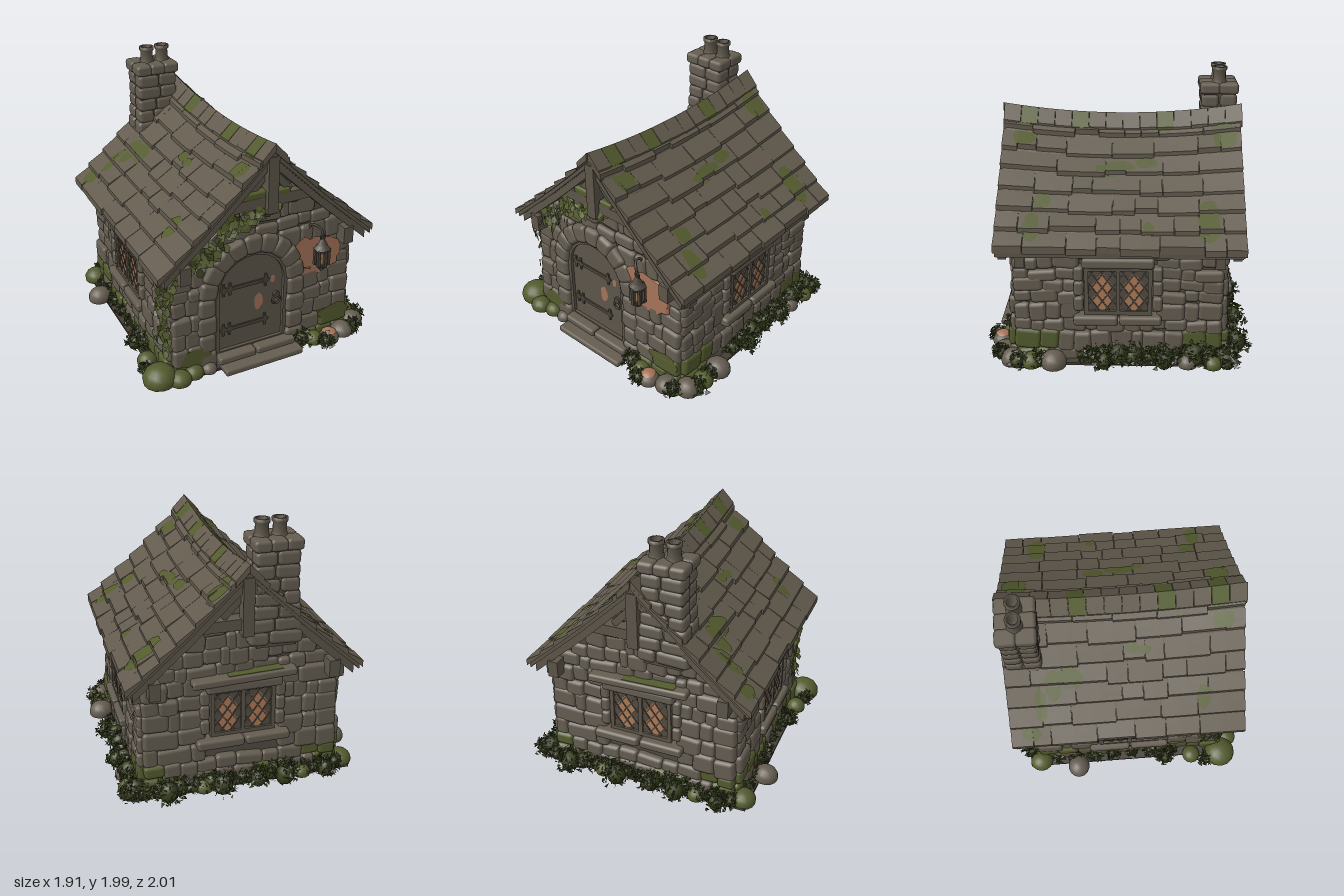
import * as THREE from 'three';
import { mergeGeometries } from 'three/addons/utils/BufferGeometryUtils.js';
import { RoundedBoxGeometry } from 'three/addons/geometries/RoundedBoxGeometry.js';

export function createModel() {
  const model = new THREE.Group();
  model.name = 'stoneCottage';
  const mat = (name, color, side = THREE.FrontSide) => {
    const m = new THREE.MeshStandardMaterial({ color, side });
    m.name = name;
    return m;
  };
  const M = {
    stone: mat('stone', 0x655d51), mortar: mat('mortar', 0x524b41), shingle: mat('shingle', 0x625a4d),
    wood: mat('wood', 0x5c5549), iron: mat('iron', 0x4a443b), soil: mat('soil', 0x453d35),
    moss: mat('moss', 0x535b2e, THREE.DoubleSide), foliage: mat('foliage', 0x373e1e, THREE.DoubleSide),
    plaster: mat('plaster', 0xa57359, THREE.DoubleSide), glow: mat('glowing glass', 0xb07a56, THREE.DoubleSide),
  };
  let seed = 7;
  const rnd = (a = 0, b = 1) => {
    seed = (seed * 16807) % 2147483647;
    return a + (b - a) * seed / 2147483647;
  };
  const { lerp, clamp } = THREE.MathUtils;
  const add = (parent, name, material, list) => {
    if (!list.length) return;
    const mesh = new THREE.Mesh(mergeGeometries(list.map(g => g.index ? g.toNonIndexed() : g)), material);
    mesh.name = name;
    parent.add(mesh);
  };
  const group = (name, ry = 0, parent = model) => {
    const g = new THREE.Group();
    g.name = name;
    g.rotation.y = ry;
    parent.add(g);
    return g;
  };
  const vecs = (V, list) => list.map(p => new V(...p));
  const at = (g, x, y, z, rx = 0, ry = 0, rz = 0) => g.rotateX(rx).rotateY(ry).rotateZ(rz).translate(x, y, z);
  const box = (w, h, d, x, y, z, rz = 0) => at(new THREE.BoxGeometry(w, h, d), x, y, z, 0, 0, rz);
  const rock = (w, h, d, x, y, z, rz = 0) => at(new RoundedBoxGeometry(w, h, d, 1, Math.min(w, h, d) * 0.3), x, y, z, 0, 0, rz);
  const grounded = g => { // flatten whatever sinks below the floor
    const p = g.attributes.position;
    for (let i = 0; i < p.count; i++) p.setY(i, Math.max(0, p.getY(i)));
    return g;
  };
  const blob = (x, y, rx, ry, z) => { // irregular flat patch
    const g = new THREE.CircleGeometry(1, 14), p = g.attributes.position;
    for (let i = 1; i < p.count - 1; i++) { const k = rnd(0.85, 1.12); p.setXY(i, p.getX(i) * k, p.getY(i) * k); }
    p.setXY(p.count - 1, p.getX(1), p.getY(1));
    return g.scale(rx, ry, 1).translate(x, y, z);
  };

  // Ground and wall core
  add(model, 'groundSlab', M.soil, [box(1.66, 0.02, 1.66, 0, 0.01, 0)]);
  const gable = new THREE.Shape(vecs(THREE.Vector2, [[-0.71, 0], [0.71, 0], [0.71, 0.9], [0, 1.57], [-0.71, 0.9]]));
  add(model, 'wallCore', M.mortar, [new THREE.ExtrudeGeometry(gable, { depth: 1.47, bevelEnabled: false }).translate(0, 0, -0.74)]);

  // Rows of rounded stones; cut gives the centre and half width of an opening
  const DX = -0.1, SPRING = 0.6;
  function stoneWall(name, ry, dist, top, half, cut, isPlaster) {
    const g = group(name, ry), lists = { stone: [], moss: [], plaster: [] };
    for (let y = 0; y < top - 0.05;) {
      const h = Math.min(rnd(0.085, 0.145), top - y), hw = half(y + h * 0.7);
      if (hw < 0.07) break;
      const [c, w] = cut(y, y + h);
      const spans = w > 0 ? [[-hw, c - w], [c + w, hw]] : [[-hw, hw]];
      for (const [a, b] of spans) {
        if (b - a < 0.04) continue;
        const n = Math.max(1, Math.round((b - a) / rnd(0.12, 0.18))), step = (b - a) / n;
        const edges = Array.from({ length: n + 1 }, (_, i) => a + i * step + (i && i < n ? rnd(-0.36, 0.36) * step : 0));
        for (let i = 0; i < n; i++) {
          const sw = edges[i + 1] - edges[i], x = (edges[i] + edges[i + 1]) / 2, yc = y + h / 2;
          const mossy = yc < (Math.abs(x) > 0.42 ? 0.22 : 0.13) && rnd() < 0.8;
          const kind = isPlaster && isPlaster(x, yc) ? 'plaster' : mossy ? 'moss' : 'stone';
          const out = 0.03 * Math.max(0, 1 - y / 0.9) + rnd(-0.012, 0.012), wave = y > 0.05 ? 0.014 * Math.sin(x * 11 + y * 17) : 0;
          lists[kind].push(grounded(rock(sw + 0.012, h + rnd(0, 0.03), 0.1, x, yc + wave, dist - 0.01 + out, rnd(-0.1, 0.1))));
        }
      }
      y += h;
    }
    for (const k in lists) add(g, name + ' ' + k, M[k], lists[k]);
    return g;
  }
  const gableHalf = y => Math.min(0.72, (1.57 - y) / 0.95);
  const doorCut = (y0, y1) => {
    const y = (y0 + y1) / 2;
    return [DX, y < SPRING ? 0.4 : Math.sqrt(Math.max(0, 0.39 ** 2 - (y - SPRING) ** 2))];
  };
  const windowCut = (y0, y1) => [0, y1 > 0.36 && y0 < 0.78 ? 0.28 : 0];
  const front = stoneWall('frontWall', 0, 0.72, 1.55, gableHalf, doorCut,
    (x, y) => ((x - 0.42) / 0.15) ** 2 + ((y - 0.74) / 0.15) ** 2 < 1);
  add(front, 'plasterPatch', M.plaster, [blob(0.44, 0.765, 0.2, 0.135, 0.778), blob(0.3, 0.61, 0.08, 0.045, 0.78), blob(0.3, 0.8, 0.08, 0.1, 0.779), blob(0.47, 0.63, 0.1, 0.05, 0.781)]);
  add(front, 'wallMoss', M.moss, [blob(-0.55, 0.14, 0.12, 0.08, 0.797), blob(0.6, 0.2, 0.14, 0.07, 0.795)]);

  // Leaded casement window with stone lintel and sill, facing +z
  function latticeWindow(parent, z, cy, name, width, depth) {
    const g = group(name, 0, parent), frame = [], bars = [], panes = [], dark = [];
    g.position.set(0, cy, z);
    for (const y of [-0.17, 0.17]) frame.push(box(0.48, 0.03, 0.06, 0, y, 0.018));
    for (const x of [-0.225, 0, 0.225]) frame.push(box(0.03, 0.34, 0.06, x, 0, 0.018));
    const W = 0.1, H = 0.155, K = 1.4, P = 0.105;
    for (const cx of [-0.112, 0.112]) {
      dark.push(box(0.21, 0.32, 0.008, cx, 0, 0.026));
      for (const s of [1, -1]) for (let o = -0.4; o < 0.41; o += P) { // clipped diagonal bars
        const a = Math.max(-W, (-H - o) / K), b = Math.min(W, (H - o) / K);
        if (b - a > 0.01) bars.push(box((b - a) * Math.hypot(1, K), 0.01, 0.008, cx + s * (a + b) / 2, o + K * (a + b) / 2, 0.033, s * Math.atan(K)));
      }
      for (let i = -1; i <= 1; i++) for (let j = -2; j <= 2; j++) { // lit diamonds
        if ((i + j) % 2 || Math.abs(i) + Math.abs(j) > 2) continue;
        panes.push(new THREE.CircleGeometry(1, 4).scale(P / 2 / K, P / 2, 1).translate(cx + i * P / 2 / K, j * P / 2 - 0.015, 0.032));
      }
    }
    add(g, 'windowFrame', M.wood, frame);
    add(g, 'leadBars', M.iron, bars);
    add(g, 'darkGlass', M.mortar, dark);
    add(g, 'litGlass', M.glow, panes);
    add(g, 'lintelAndSill', M.stone, [rock(width * 0.8, 0.08, depth, 0, 0.22, 0.01), rock(width / 2, 0.075, depth, -width / 4, -0.22, 0.02),
      rock(width / 2 - 0.02, 0.07, depth, width / 4, -0.22, 0.02),
      ...[-1, 1].flatMap(s => [-0.1, 0.02, 0.13].map(y => rock(0.07, 0.11, 0.1, s * 0.28, y, 0.01)))]);
    return g;
  }
  const back = stoneWall('backWall', Math.PI, 0.73, 1.55, gableHalf, windowCut);
  const backWindow = latticeWindow(back, 0.745, 0.6, 'backWindow', 0.7, 0.18);
  add(backWindow, 'lintelSlab', M.stone, [rock(0.76, 0.06, 0.2, 0, 0.275, 0.01, 0.03)]);
  add(backWindow, 'lintelMoss', M.moss, [box(0.4, 0.006, 0.12, 0.08, 0.308, 0.03, 0.03)]);
  for (const s of [1, -1]) {
    const side = s > 0 ? 'left' : 'right';
    latticeWindow(stoneWall(side + 'Wall', s * Math.PI / 2, 0.7, 0.9, () => 0.74, windowCut), 0.72, 0.56, side + 'Window', 0.64, 0.14);
  }

  // Roof: u runs from ridge to eave, h is height above the sagging deck
  const roofPoint = (u, h, z) => [0.85 * u, lerp(1.605 + 0.07 * (z / 0.87) ** 2, 0.885, u) - 0.015 * Math.sin(Math.PI * u) + h, z];
  function roofSlab(u0, u1, z0, z1, low, h0, h1) {
    const g = new THREE.BoxGeometry(1, 1, 1, 2, 1, z1 - z0 > 0.5 ? 12 : 2), p = g.attributes.position;
    for (let i = 0; i < p.count; i++) {
      const a = p.getX(i) + 0.5, z = lerp(z0, z1, p.getZ(i) + 0.5);
      p.setXYZ(i, ...roofPoint(lerp(u0, u1, a), lerp(low, lerp(h0, h1, a), p.getY(i) + 0.5), z));
    }
    g.computeVertexNormals();
    return g;
  }
  const COURSES = 7;
  // Moss patches per slope: u, z, size in u, size in z
  const mossSpots = [
    [[0.21, -0.76, 0.11, 0.09], [0.21, 0.72, 0.1, 0.085], [0.8, -0.62, 0.15, 0.08], [0.39, 0, 0.045, 0.11], [0.42, 0.1, 0.04, 0.1],
      [0.66, 0.55, 0.07, 0.06], [0.85, 0.62, 0.12, 0.06], [0.36, -0.18, 0.05, 0.08], [0.85, -0.2, 0.05, 0.04]],
    [[0.21, 0.72, 0.1, 0.08], [0.73, 0.57, 0.09, 0.06], [0.53, -0.4, 0.08, 0.1], [0.58, -0.53, 0.12, 0.06], [0.35, 0.06, 0.05, 0.06],
      [0.92, -0.72, 0.06, 0.07], [0.72, -0.63, 0.13, 0.045], [0.37, 0.15, 0.04, 0.05]],
  ];
  for (const s of [0, 1]) {
    const g = group(s ? 'rightRoof' : 'leftRoof', s * Math.PI), shingles = [], moss = [], flip = s ? -1 : 1;
    g.position.z = -0.012;
    add(g, 'roofDeck', M.wood, [roofSlab(0, 0.985, -0.85, 0.85, -0.05, 0.005, 0.005)]);
    for (let c = 0; c < COURSES; c++) {
      for (let z = -0.875; z < 0.86;) {
        const end = z + rnd(0.12, 0.36), z1 = end > 0.76 ? 0.875 : end, drop = rnd(-0.012, 0.025);
        const u0 = c / COURSES, u1 = Math.min(1.01, (c + 1) / COURSES + drop), h1 = rnd(0.032, 0.048);
        shingles.push(roofSlab(u0, u1, z + 0.002, z1 - 0.002, -0.01, 0.008, h1));
        for (const [pu, wz, ru, rz] of mossSpots[s]) {
          const pz = wz * flip;
          if (pu + ru < u0 || pu - ru > u1 || pz + rz < z || pz - rz > z1) continue;
          const patch = blob(pu, pz, ru, rz, 0), p = patch.attributes.position;
          for (let i = 0; i < p.count; i++) {
            const u = clamp(p.getX(i), u0 + 0.012, u1);
            p.setXYZ(i, ...roofPoint(u, lerp(0.008, h1, (u - u0) / (u1 - u0)) + 0.007, clamp(p.getY(i), z, z1)));
          }
          patch.setIndex([...patch.index.array].reverse()); // face upwards
          patch.computeVertexNormals();
          moss.push(patch);
        }
        z = z1;
      }
    }
    add(g, 'shingles', M.shingle, shingles);
    add(g, 'roofMoss', M.moss, moss);
    const caps = [[], []];
    for (let i = 0; i < 14; i++) {
      const z = -0.885 + i * 0.1257, mossy = [4, 9, 12].includes(s ? 13 - i : i) ? 1 : 0;
      caps[mossy].push(roofSlab(0, 0.115, z, z + 0.123, 0, 0.055, 0.045 + (i % 3) * 0.004));
    }
    add(g, 'ridgeCaps', M.shingle, caps[0]);
    add(g, 'mossyRidgeCaps', M.moss, caps[1]);
    // Bargeboards at both gable ends, wall plate, eave brackets and rafter tails
    add(g, 'bargeboards', M.wood, [-0.815, 0.815].flatMap(z => [roofSlab(0, 0.94, z - 0.03, z + 0.03, -0.115, -0.02, -0.02),
      roofSlab(0, 0.985, z - 0.045, z + 0.045, -0.045, 0, 0)]));
    const timbers = [box(0.08, 0.13, 1.72, 0.65, 0.875, 0)];
    for (const z of [-0.7, 0.7]) timbers.push(box(0.1, 0.14, 0.07, 0.73, 0.81, z));
    for (let z = -0.56; z < 0.6; z += 0.16) timbers.push(box(0.12, 0.05, 0.05, 0.75, 0.87, z));
    add(g, 'eaveTimbers', M.wood, timbers);
    // Gable truss
    add(g, 'gableTruss', M.wood, [box(0.66, 0.08, 0.09, 0, 1.29, 0.79), box(0.08, 0.42, 0.09, 0, 1.42, 0.825),
      ...[-1, 1].map(k => box(0.05, 0.22, 0.05, k * 0.09, 1.42, 0.79, k * 0.75))]);
  }
  add(front, 'gableMoss', M.moss, [rock(0.19, 0.06, 0.07, -0.11, 1.35, 0.79), rock(0.11, 0.045, 0.07, 0.1, 1.34, 0.79)]);

  // Chimney
  const chimney = group('chimney'), CX = -0.21, CZ = -0.735, blocks = [];
  add(chimney, 'chimneyCore', M.mortar, [box(0.29, 0.7, 0.23, CX, 1.45, CZ)]);
  for (let y = 1.12; y < 1.78; y += 0.095) {
    const split = rnd(-0.06, 0.06), w = 0.31 + Math.max(0, 1.48 - y) * 0.2;
    for (const k of [-1, 1]) for (const q of [-1, 1]) {
      const bw = w / 2 - k * split;
      blocks.push(rock(bw + 0.008, 0.108, 0.135, CX + k * (w / 2 - bw / 2), y + 0.047, CZ + q * (0.061 + rnd(0, 0.006)), rnd(-0.05, 0.05)));
    }
  }
  for (const k of [-1, 0, 1]) for (const q of [-1, 1]) blocks.push(rock(0.122, 0.085, 0.15, CX + k * 0.112, 1.828, CZ + q * 0.069));
  add(chimney, 'chimneyStones', M.stone, blocks);
  const potProfile = [[0.06, 0], [0.048, 0.03], [0.046, 0.09], [0.056, 0.1], [0.056, 0.125], [0.036, 0.125], [0.034, 0.02], [0, 0.02]];
  add(chimney, 'chimneyPots', M.wood, [-0.25, -0.125].map(x => new THREE.LatheGeometry(vecs(THREE.Vector2, potProfile), 16).translate(x, 1.86, CZ)));

  // Arched door, frame and stone surround
  const door = group('door');
  const archShape = (r, y0) => new THREE.Shape().moveTo(-r, y0).lineTo(r, y0).lineTo(r, SPRING).absarc(0, SPRING, r, 0, Math.PI, false).lineTo(-r, y0);
  const arch = (r, y0, depth, z, hole) => {
    const s = archShape(r, y0);
    if (hole) s.holes.push(archShape(hole, y0 + 0.015));
    return new THREE.ExtrudeGeometry(s, { depth, bevelEnabled: false, curveSegments: 20 }).translate(DX, 0, z);
  };
  add(door, 'doorPanel', M.wood, [arch(0.27, 0.1, 0.03, 0.715)]);
  add(door, 'doorFrame', M.wood, [arch(0.29, 0.1, 0.055, 0.715, 0.262)]);
  const hinges = [];
  for (const y of [0.28, 0.62]) {
    hinges.push(box(0.38, 0.028, 0.012, -0.15, y, 0.75));
    for (const x of [-0.32, -0.27, 0.02]) hinges.push(box(0.018, 0.1, 0.012, x, y, 0.75), box(0.045, 0.045, 0.013, x, y, 0.75, Math.PI / 4));
  }
  hinges.push(at(new THREE.TorusGeometry(0.032, 0.008, 6, 18), 0.11, 0.425, 0.757),
    at(new THREE.CylinderGeometry(0.026, 0.026, 0.02, 12), 0.11, 0.47, 0.755, Math.PI / 2));
  add(door, 'doorIronwork', M.iron, hinges);
  add(door, 'doorPatches', M.plaster, [blob(-0.035, 0.45, 0.035, 0.07, 0.748), blob(0.08, 0.61, 0.018, 0.035, 0.748)]);
  const surround = [];
  for (let i = 0; i < 9; i++) {
    const a = (i + 0.5) / 9 * Math.PI;
    surround.push(rock(0.145, 0.15, 0.12, DX + Math.cos(a) * 0.352, SPRING + Math.sin(a) * 0.352, 0.74, a - Math.PI / 2));
  }
  for (const k of [-1, 1]) for (let i = 0; i < 4; i++)
    surround.push(rock(i % 2 ? 0.14 : 0.16, 0.156, 0.12, DX + k * 0.36, 0.078 + i * 0.148, 0.74));
  add(door, 'doorSurround', M.stone, surround);
  add(door, 'doorstep', M.stone, [rock(0.64, 0.05, 0.26, -0.06, 0.028, 0.8), rock(0.3, 0.06, 0.15, -0.24, 0.075, 0.77), rock(0.32, 0.06, 0.15, 0.08, 0.075, 0.77)]);

  // Hanging lantern on a wall hook
  const lantern = group('lantern');
  lantern.position.set(0.42, 0, 0.855);
  const hook = new THREE.CatmullRomCurve3(vecs(THREE.Vector3, [[-0.05, 0.9, -0.1], [-0.05, 0.99, -0.09], [-0.04, 1.01, -0.03], [-0.01, 0.98, 0], [0, 0.92, 0]]));
  const ring6 = (r0, r1, h, y) => at(new THREE.CylinderGeometry(r0, r1, h, 6), 0, y, 0);
  const metal = [new THREE.TubeGeometry(hook, 16, 0.01, 6), at(new THREE.TorusGeometry(0.02, 0.006, 6, 12), 0, 0.925, 0),
    ring6(0.012, 0.04, 0.05, 0.885), ring6(0.035, 0.066, 0.035, 0.845), ring6(0.054, 0.054, 0.025, 0.82), ring6(0.054, 0.042, 0.03, 0.7), ring6(0.035, 0.012, 0.035, 0.667)];
  for (let i = 0; i < 6; i++) {
    const a = i * Math.PI / 3;
    metal.push(box(0.022, 0.14, 0.022, Math.sin(a) * 0.047, 0.765, Math.cos(a) * 0.047));
  }
  add(lantern, 'lanternMetal', M.iron, metal);
  add(lantern, 'lanternGlass', M.glow, [ring6(0.04, 0.034, 0.12, 0.765)]);

  // Boulders around the base: x, z, radius, mossy
  const boulders = { stone: [], moss: [] };
  for (const [x, z, r, m] of [[-0.83, 0.76, 0.125, 1], [-0.7, 0.83, 0.085, 1], [-0.58, 0.8, 0.075, 1], [-0.46, 0.8, 0.06, 0], [-0.83, 0.52, 0.075, 1], [-0.86, -0.43, 0.095, 0],
    [0.84, 0.46, 0.1, 0], [0.83, 0.62, 0.08, 1], [0.8, 0.76, 0.09, 0], [0.66, 0.83, 0.085, 0], [0.52, 0.87, 0.08, 0], [0.41, 0.83, 0.07, 1],
    [0.82, -0.5, 0.075, 0], [0.83, -0.68, 0.075, 1], [-0.79, -0.74, 0.09, 1], [0.3, -0.82, 0.07, 1], [-0.45, -0.82, 0.07, 1]])
    boulders[m ? 'moss' : 'stone'].push(grounded(new THREE.SphereGeometry(r, 14, 10).scale(1, rnd(0.8, 0.95), rnd(0.9, 1.05)).translate(x, r * 0.35, z)));
  add(model, 'boulders', M.stone, boulders.stone);
  add(model, 'mossyBoulders', M.moss, boulders.moss);
  add(model, 'boulderPatch', M.plaster, [new THREE.SphereGeometry(0.083, 12, 4, 0, Math.PI * 2, 0, 0.75).translate(0.52, 0.025, 0.87)]);

  // Leafy bushes hugging the walls
  const leaves = [];
  const bush = (x, z, r) => {
    leaves.push(grounded(new THREE.IcosahedronGeometry(r * 0.7, 1).scale(1, 1.2, 1).translate(x, r * 0.6, z)));
    for (let i = 0; i < 90; i++) {
      const a = rnd(0, Math.PI * 2), e = Math.asin(rnd(0, 1)), d = r * rnd(0.7, 1.15);
      leaves.push(grounded(at(new THREE.CircleGeometry(rnd(0.014, 0.026), 3), x + Math.cos(a) * Math.cos(e) * d, 0.02 + Math.sin(e) * d * 1.45, z + Math.sin(a) * Math.cos(e) * d, rnd(0, 3), rnd(0, 3), rnd(0, 3))));
    }
  };
  for (let i = 0; i < 13; i++) bush(-0.72 + i * 0.12, -0.8 - rnd(0, 0.02), rnd(0.06, 0.09));
  for (let i = 0; i < 10; i++) bush(0.775 + rnd(0, 0.02), -0.76 + i * 0.108, rnd(0.07, 0.11));
  for (let i = 0; i < 7; i++) bush(-0.77, -0.6 + i * 0.155, rnd(0.045, 0.07));
  // Fuller clumps
  for (const [x, z, r] of [[-0.62, -0.87, 0.08], [-0.3, -0.88, 0.1], [-0.1, -0.86, 0.08], [0.17, -0.88, 0.1], [0.57, -0.87, 0.1], [0.84, -0.78, 0.08],
    [0.85, -0.33, 0.08], [0.86, 0.1, 0.08], [0.84, 0.57, 0.07], [-0.84, 0.3, 0.07], [-0.88, 0.64, 0.06],
    [0.31, 0.82, 0.075], [0.46, 0.92, 0.06], [0.74, 0.85, 0.07], [0.86, 0.72, 0.07]]) bush(x, z, r);
  add(model, 'bushes', M.foliage, leaves);

  // Ivy climbing the front corner towards the gable
  const vine = new THREE.CatmullRomCurve3(vecs(THREE.Vector3, [[-0.75, 0.2, 0.7], [-0.745, 0.5, 0.71], [-0.725, 0.78, 0.75], [-0.56, 0.95, 0.775], [-0.36, 1.13, 0.78], [-0.14, 1.2, 0.78], [0.08, 1.24, 0.78]]));
  const ivy = [[], []];
  for (let i = 0; i < 270; i++) {
    const t = rnd(), p = vine.getPoint(t), corner = t < 0.45;
    const spread = corner ? 0.022 : 0.09 * Math.sin(Math.PI * Math.min(1, t * 1.02)) + 0.015;
    ivy[i % 5 ? 0 : 1].push(at(new THREE.CircleGeometry(rnd(0.018, 0.034), 5).scale(1, 1.25, 1), p.x + rnd(-spread, spread), p.y + rnd(-spread, spread),
      p.z + (corner ? rnd(-0.14, 0.05) : rnd(0.01, 0.05)), rnd(-0.7, 0.1), rnd(-0.5, 0.3) - (corner ? 0.7 : 0), rnd(0, 0.6)));
  }
  add(model, 'ivyStem', M.wood, [new THREE.TubeGeometry(vine, 40, 0.01, 5)]);
  add(model, 'ivyLeaves', M.moss, ivy[0]);
  add(model, 'ivyShadeLeaves', M.foliage, ivy[1]);
  return model;
}
